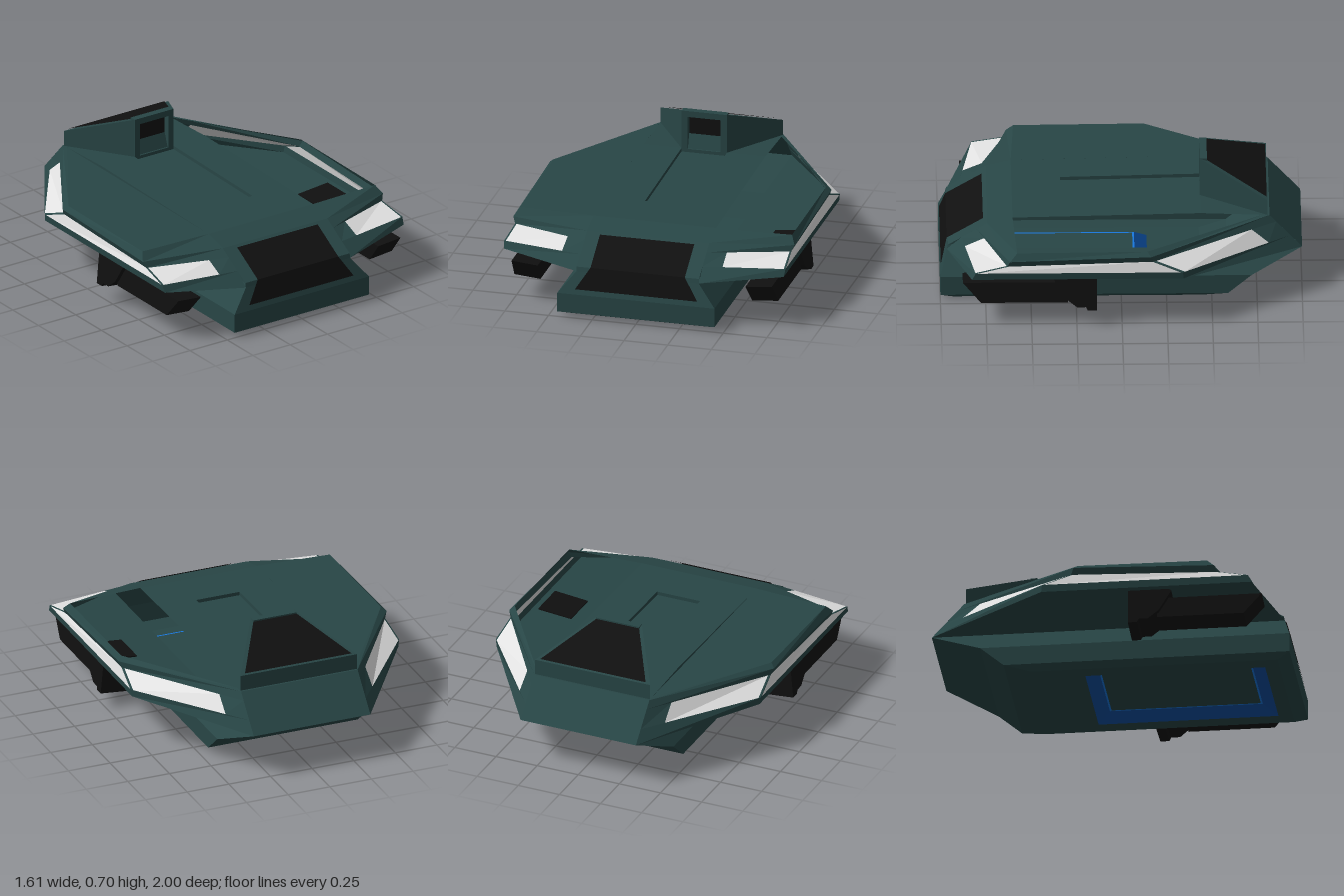
import * as THREE from 'three';

const paint = (name, color) => Object.assign(
  new THREE.MeshStandardMaterial({ color, side: THREE.DoubleSide }), { name });

export function createModel() {
  const teal = paint('dark teal hull', 0x284646);
  const black = paint('black', 0x101010);
  const glass = paint('pale window', 0xe2e2e2);
  const blue = paint('deep blue', 0x0a4c9c);
  const brightBlue = paint('bright blue', 0x1878e0);
  const model = new THREE.Group();

  // Flat panels from convex polygons of [x, y, z] corners
  function panels(name, material, polys, parent = model) {
    const pos = [];
    for (const p of polys)
      for (let i = 1; i < p.length - 1; i++) pos.push(...p[0], ...p[i], ...p[i + 1]);
    const geo = new THREE.BufferGeometry();
    geo.setAttribute('position', new THREE.Float32BufferAttribute(pos, 3));
    geo.computeVertexNormals();
    const mesh = new THREE.Mesh(geo, material);
    mesh.name = name;
    parent.add(mesh);
    return mesh;
  }
  const rect = (y, hx, zf, zb) => [[hx, y, zf], [hx, y, zb], [-hx, y, zb], [-hx, y, zf]];
  // Quads joining closed rings
  function loft(rings) {
    const out = [];
    for (let r = 0; r < rings.length - 1; r++)
      for (let i = 0; i < 4; i++) {
        const j = (i + 1) % 4;
        out.push([rings[r][i], rings[r][j], rings[r + 1][j], rings[r + 1][i]]);
      }
    return out;
  }
  // Quads spanning x0..x1 along a [z, y] profile
  const strip = (profile, x0, x1) => profile.slice(1).map(([z, y], i) => {
    const [pz, py] = profile[i];
    return [[x0, py, pz], [x1, py, pz], [x1, y, z], [x0, y, z]];
  });
  const mix = (a, b, t) => a.map((v, i) => v + (b[i] - v) * t);

  // Lower hull with an open belly
  panels('lowerHull', teal, loft([
    rect(0, 0.32, 0.85, -0.15), rect(0, 0.41, 0.93, -0.44), rect(0.03, 0.45, 1, -0.59),
    rect(0.14, 0.45, 1, -0.72), rect(0.265, 0.35, 0.963, -1),
  ]));

  // Belly recess: blue walls, bright rim and teal ceiling
  panels('bellyRecessWalls', blue, loft([rect(0, 0.32, 0.85, -0.15), rect(0.05, 0.26, 0.77, -0.08)]));
  panels('bellyLightStrip', brightBlue, loft([rect(0.05, 0.26, 0.77, -0.08), rect(0.05, 0.25, 0.76, -0.07)]));
  panels('bellyRecessCeiling', teal, [rect(0.05, 0.25, 0.76, -0.07)]);

  // Central spine: nose, roof and tail, with a sunken roof channel
  const nose = [[0.963, 0.265], [0.957, 0.29], [0.74, 0.42], [0.6, 0.455], [0.33, 0.46]];
  const channel = [[0.33, 0.46], [-0.44, 0.475]];
  const tail = [[-0.44, 0.475], [-0.82, 0.46], [-1, 0.265]];
  panels('noseAndRoof', teal, [
    ...strip(nose, -0.35, 0.35), ...strip(tail, -0.35, 0.35),
    ...strip(channel, 0.13, 0.35), ...strip(channel, -0.35, -0.13),
  ]);
  const [[cz0, cy0], [cz1, cy1]] = channel;
  panels('roofChannel', teal, loft([
    [[0.13, cy0, cz0], [0.13, cy1, cz1], [-0.13, cy1, cz1], [-0.13, cy0, cz0]],
    [[0.13, cy0 - 0.02, cz0], [0.13, cy1 - 0.02, cz1], [-0.13, cy1 - 0.02, cz1], [-0.13, cy0 - 0.02, cz0]],
  ]).concat(strip([[cz0, cy0 - 0.02], [cz1, cy1 - 0.02]], -0.13, 0.13)));

  // Folded black windscreen
  panels('windscreen', black, [
    [[-0.27, 0.413, 0.762], [-0.27, 0.293, 0.963], [0.27, 0.293, 0.963], [0.27, 0.413, 0.762]],
    [[-0.27, 0.293, 0.963], [-0.35, 0.17, 0.996], [0.35, 0.17, 0.996], [0.27, 0.293, 0.963]],
  ]);

  // Wings: stations run front inner, front outer, rear outer, rear inner
  const floor = [[0.35, 0.265, 0.963], [0.8, 0.3, 0.83], [0.8, 0.3, -0.34], [0.35, 0.265, -1]];
  const sill = [[0.35, 0.335, 0.882], [0.805, 0.34, 0.81], [0.805, 0.34, -0.335], [0.35, 0.335, -0.935]];
  const head = [[0.35, 0.385, 0.798], [0.79, 0.375, 0.635], [0.79, 0.4, -0.175], [0.35, 0.42, -0.857]];
  const eave = [[0.35, 0.42, 0.74], [0.805, 0.41, 0.62], [0.805, 0.435, -0.16], [0.35, 0.46, -0.82]];
  const roof = [[0.35, 0.455, 0.6], [0.78, 0.452, 0.58], [0.78, 0.457, -0.14], [0.35, 0.462, -0.78]];
  const windowSpan = [[0.24, 0.98], [0.01, 0.99], [0.02, 0.8]];
  const shell = [floor, [[0.35, 0.29, 0.957], knee(floor[0], sill[0]), sill[0]]];
  function knee(a, b) { return mix(a, b, 0.4); }
  const panes = [];
  for (let i = 0; i < 3; i++) {
    for (const [lo, hi] of [[floor, sill], [head, eave], [eave, roof]])
      shell.push([lo[i], lo[i + 1], hi[i + 1], hi[i]]);
    const piece = (u0, u1) => [
      mix(sill[i], sill[i + 1], u0), mix(sill[i], sill[i + 1], u1),
      mix(head[i], head[i + 1], u1), mix(head[i], head[i + 1], u0)];
    const [u0, u1] = windowSpan[i];
    shell.push(piece(0, u0), piece(u1, 1));
    panes.push(piece(u0, u1));
  }
  const mirror = (polys) => polys.map(p => p.map(([x, y, z]) => [-x, y, z]).reverse());
  panels('leftWing', teal, shell);
  panels('rightWing', teal, mirror(shell));
  panels('leftWindows', glass, panes);
  panels('rightWindows', glass, mirror(panes));
  // The left wing is an open bay; only the right one is decked over
  panels('rightWingDeck', teal, mirror([[roof[1], roof[2], roof[3], [0.35, 0.475, -0.44], roof[0]]]));

  // Rear cabin that widens and drops towards the tail
  const cabin = new THREE.Group();
  cabin.name = 'rearCabin';
  model.add(cabin);
  const side = [[0.13, 0.47, -0.44], [0.13, 0.7, -0.44], [0.35, 0.55, -0.81], [0.35, 0.455, -0.81]];
  panels('cabinShell', teal, [
    side, ...mirror([side]),
    [[-0.13, 0.7, -0.44], [0.13, 0.7, -0.44], [0.35, 0.55, -0.81], [-0.35, 0.55, -0.81]],
    [[-0.35, 0.55, -0.81], [0.35, 0.55, -0.81], [0.35, 0.455, -0.81], [-0.35, 0.455, -0.81]],
  ], cabin);
  panels('cabinRearScreen', black, [
    [[-0.12, 0.699, -0.46], [0.12, 0.699, -0.46], [0.32, 0.559, -0.805], [-0.32, 0.559, -0.805]],
  ], cabin);
  const frameShape = new THREE.Shape([[-0.13, 0.465], [0.13, 0.465], [0.13, 0.7], [-0.13, 0.7]]
    .map(p => new THREE.Vector2(...p)));
  frameShape.holes.push(new THREE.Path([[-0.095, 0.475], [-0.095, 0.665], [0.095, 0.665], [0.095, 0.475]]
    .map(p => new THREE.Vector2(...p))));
  const frame = new THREE.Mesh(
    new THREE.ExtrudeGeometry(frameShape, { depth: 0.04, bevelEnabled: false }), teal);
  frame.name = 'cabinFrontFrame';
  frame.position.z = -0.478;
  cabin.add(frame);
  panels('cabinFrontOpening', black, strip([[-0.476, 0.55], [-0.476, 0.67]], -0.1, 0.1), cabin);
  panels('cabinFrontApron', teal, strip([[-0.445, 0.47], [-0.474, 0.555]], -0.1, 0.1), cabin);

  // Engine pods: [z, y] side profiles extruded across x
  function slab(name, profile, width, parent) {
    const geo = new THREE.ExtrudeGeometry(
      new THREE.Shape(profile.map(p => new THREE.Vector2(...p))), { depth: width, bevelEnabled: false });
    geo.translate(0, 0, -width / 2).rotateY(-Math.PI / 2);
    const mesh = new THREE.Mesh(geo, black);
    mesh.name = name;
    parent.add(mesh);
  }
  for (const s of [1, -1]) {
    const pod = new THREE.Group();
    pod.name = s > 0 ? 'leftPod' : 'rightPod';
    slab('podBlock', [[0.36, 0.11], [0.14, 0.11], [0.14, -0.1], [0.19, -0.1], [0.2, -0.08],
      [0.25, -0.08], [0.31, -0.03], [0.38, 0.09]], 0.2, pod);
    slab('podBarrel', [[0.88, 0.06], [0.3, 0.06], [0.3, -0.06], [0.78, -0.06]], 0.15, pod);
    pod.position.set(s * 0.675, 0.187, 0);
    pod.rotation.z = s * 0.09;
    model.add(pod);
  }
  return model;
}
